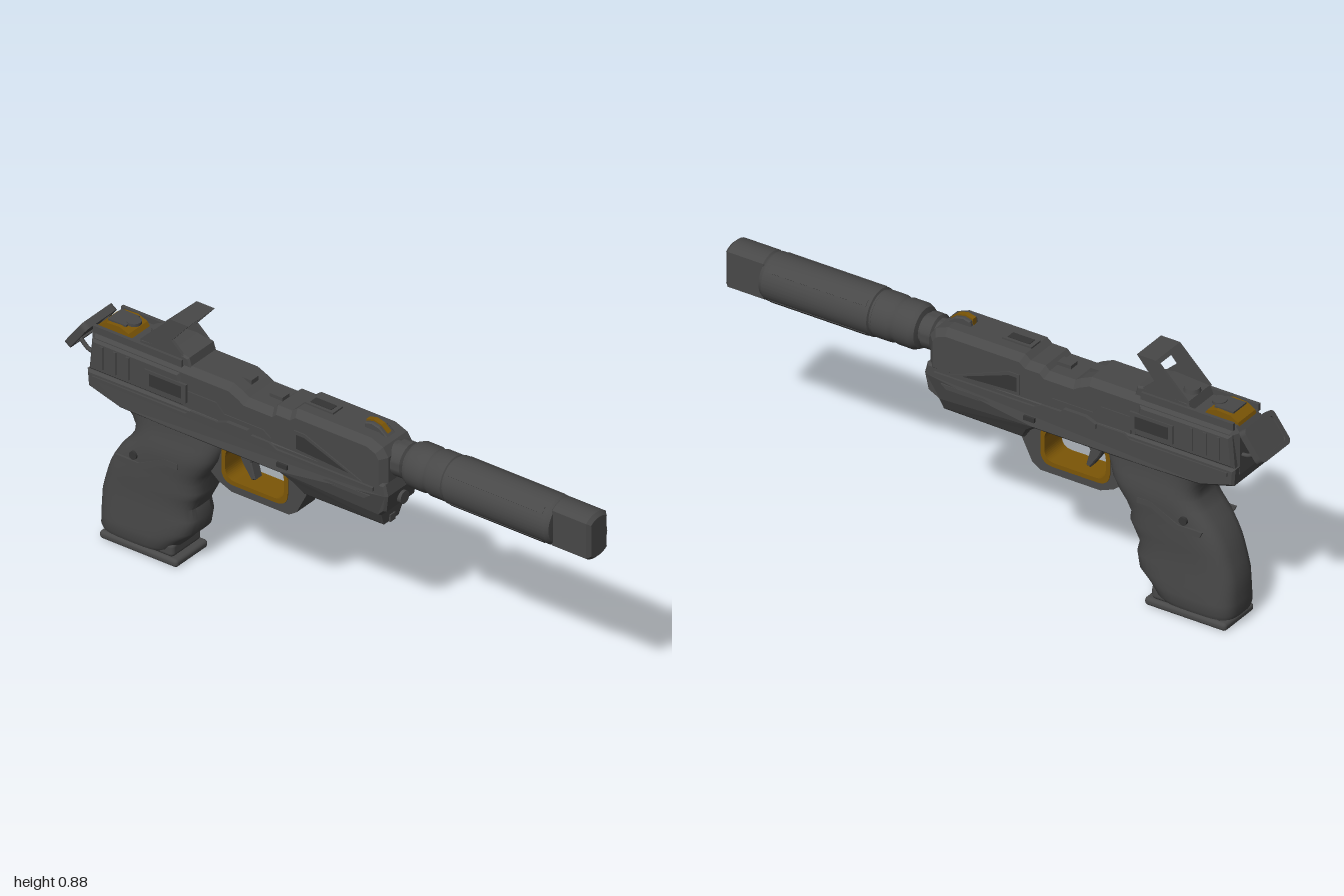
import * as THREE from 'three';
import { toCreasedNormals } from 'three/addons/utils/BufferGeometryUtils.js';
import { RoundedBoxGeometry } from 'three/addons/geometries/RoundedBoxGeometry.js';

const mat = (name, color) => Object.assign(new THREE.MeshStandardMaterial({ color }), { name });

export function createModel() {
  const root = new THREE.Group();
  const grey = mat('gunmetal', 0x484848);
  const dark = mat('dark recess', 0x343434);
  const amber = mat('amber', 0x7c5606);

  const add = (name, geo, m = grey, x = 0, y = 0, z = 0) => {
    const mesh = new THREE.Mesh(geo, m);
    mesh.name = name;
    mesh.position.set(x, y, z);
    root.add(mesh);
    return mesh;
  };
  const outline = (pts) => new THREE.Shape(pts.map(([z, y]) => new THREE.Vector2(z, y)));
  // Side profile in (z, y), extruded evenly to +-half along x
  const side = (shape, half, bevel = 0) => {
    const s = Array.isArray(shape) ? outline(shape) : shape;
    const g = new THREE.ExtrudeGeometry(s, {
      depth: 2 * (half - bevel), bevelEnabled: bevel > 0, bevelSize: bevel, bevelThickness: bevel,
      bevelOffset: -bevel, bevelSegments: 1, curveSegments: 10,
    });
    return g.translate(0, 0, -(half - bevel)).rotateY(-Math.PI / 2);
  };
  const box = (name, w, h, d, x, y, z, m = grey) => add(name, new THREE.BoxGeometry(w, h, d), m, x, y, z);
  // Thin plate on both flanks at distance x
  const flank = (name, pts, x, m = grey, t = 0.004) => {
    for (const s of [-1, 1]) add(name, side(pts, t), m, s * x);
  };
  const lathe = (name, pts, m = grey) => add(name, toCreasedNormals(
    new THREE.LatheGeometry(pts.map(([z, r]) => new THREE.Vector2(r, z)), 40).rotateX(Math.PI / 2), 0.5), m, 0, 0.665, 0);
  const roundRect = (target, a, b, c, d, r) => {
    target.moveTo(a + r, c); target.lineTo(b - r, c); target.quadraticCurveTo(b, c, b, c + r);
    target.lineTo(b, d - r); target.quadraticCurveTo(b, d, b - r, d);
    target.lineTo(a + r, d); target.quadraticCurveTo(a, d, a, d - r);
    target.lineTo(a, c + r); target.quadraticCurveTo(a, c, a + r, c);
    return target;
  };

  // Muzzle tube with stepped collars
  lathe('muzzleTube', [[0.2, 0.05], [0.235, 0.05], [0.24, 0.06], [0.275, 0.06], [0.28, 0.05], [0.288, 0.05],
    [0.292, 0.068], [0.31, 0.076], [0.36, 0.076], [0.375, 0.072], [0.39, 0.077], [0.445, 0.077], [0.448, 0.073],
    [0.455, 0.073], [0.458, 0.08], [0.845, 0.08], [0.86, 0.072], [0.865, 0]]);
  // Flat-sided tip, hollow at the end
  const tip = new THREE.Shape();
  const a = Math.acos(0.05 / 0.08);
  tip.absarc(0, 0, 0.08, a, Math.PI - a, false);
  tip.absarc(0, 0, 0.08, Math.PI + a, 2 * Math.PI - a, false);
  tip.closePath();
  tip.holes.push(new THREE.Path().absarc(0, 0, 0.03, 0, Math.PI * 2, true));
  add('muzzleTip', new THREE.ExtrudeGeometry(tip, {
    depth: 0.13, bevelSize: 0.012, bevelThickness: 0.012, bevelOffset: -0.012, bevelSegments: 1, curveSegments: 14,
  }), grey, 0, 0.665, 0.858);
  add('bore', new THREE.CircleGeometry(0.042, 28), dark, 0, 0.665, 0.95);
  // Long ribs along the tube
  for (let i = 0; i < 4; i++) {
    const t = Math.PI / 4 + (i * Math.PI) / 2;
    box('tubeRib', 0.006, 0.022, 0.36, Math.cos(t) * 0.078, 0.665 + Math.sin(t) * 0.078, 0.65).rotation.z = t;
  }

  // Slide
  add('slide', side([[0.235, 0.57], [0.235, 0.69], [0.215, 0.72], [0.17, 0.738], [-0.115, 0.738], [-0.135, 0.722],
    [-0.19, 0.722], [-0.205, 0.708], [-0.3, 0.708], [-0.32, 0.72], [-0.36, 0.738], [-0.89, 0.738], [-0.905, 0.72],
    [-0.905, 0.57]], 0.082, 0.022));
  add('slideRear', side([[-0.53, 0.6], [-0.55, 0.715], [-0.89, 0.715], [-0.9, 0.6]], 0.09, 0.01));
  flank('slideWedge', [[0.15, 0.585], [-0.11, 0.60], [-0.11, 0.672], [-0.07, 0.672]], 0.082);
  flank('slideWedgeInset', [[0.1, 0.598], [-0.1, 0.61], [-0.1, 0.66], [-0.07, 0.66]], 0.083, dark);
  flank('slideMidPanel', [[-0.2, 0.61], [-0.23, 0.63], [-0.38, 0.63], [-0.41, 0.66], [-0.52, 0.66], [-0.52, 0.6]], 0.082);
  flank('windowFrame', [[-0.52, 0.62], [-0.52, 0.685], [-0.68, 0.685], [-0.68, 0.62]], 0.09);
  flank('sideWindow', [[-0.54, 0.632], [-0.54, 0.674], [-0.66, 0.674], [-0.66, 0.632]], 0.092, dark);
  for (let i = 0; i < 3; i++) flank('rearSerration', [[-0.74 - i * 0.05, 0.62], [-0.74 - i * 0.05, 0.7],
    [-0.752 - i * 0.05, 0.7], [-0.752 - i * 0.05, 0.62]], 0.09);
  box('topPanel', 0.05, 0.008, 0.11, 0, 0.74, -0.06);
  box('topSlot', 0.03, 0.008, 0.08, 0, 0.742, -0.06, dark);
  for (const z of [-0.23, -0.35]) box('topNotch', 0.035, 0.02, 0.05, 0, 0.71 + (z < -0.3 ? 0.018 : 0), z);

  // Frame, narrowing toward its lower edge
  const frame = side([[0.235, 0.6], [0.245, 0.56], [0.235, 0.5], [0.205, 0.47], [0.2, 0.425], [-0.1, 0.425],
    [-0.13, 0.47], [-0.165, 0.5], [-0.42, 0.5], [-0.6, 0.5], [-0.78, 0.505], [-0.9, 0.54], [-0.905, 0.6]], 0.092, 0.008);
  const p = frame.attributes.position;
  for (let i = 0; i < p.count; i++) {
    const y = p.getY(i), z = p.getZ(i);
    let k = z > -0.15 ? THREE.MathUtils.lerp(0.5, 1, THREE.MathUtils.clamp((y - 0.425) / 0.085, 0, 1)) : 1;
    if (z > 0.18) k *= 0.88;
    p.setX(i, p.getX(i) * k);
  }
  frame.computeVertexNormals();
  add('frame', frame);
  const knob = add('noseKnob', new THREE.CylinderGeometry(0.022, 0.022, 0.02, 20), grey, 0, 0.525, 0.243);
  knob.rotation.x = Math.PI / 2;
  box('noseTab', 0.025, 0.025, 0.02, 0, 0.437, 0.197);
  flank('frameRail', [[0.2, 0.572], [0.2, 0.585], [-0.17, 0.585], [-0.2, 0.6], [-0.5, 0.6], [-0.52, 0.585],
    [-0.88, 0.585], [-0.88, 0.572]], 0.092);
  flank('slideStop', [[-0.26, 0.59], [-0.28, 0.615], [-0.36, 0.615], [-0.4, 0.6], [-0.4, 0.585]], 0.093, grey, 0.007);
  flank('frameButton', [[-0.13, 0.525], [-0.13, 0.54], [-0.17, 0.54], [-0.17, 0.525]], 0.092, dark);
  flank('frameLever', [[-0.02, 0.53], [0.02, 0.545], [0.18, 0.545], [0.16, 0.53]], 0.082);

  // Trigger guard with amber lining
  const guard = outline([[-0.09, 0.43], [-0.13, 0.35], [-0.16, 0.33], [-0.38, 0.33], [-0.43, 0.35], [-0.48, 0.39],
    [-0.48, 0.51], [-0.14, 0.51]]);
  guard.holes.push(roundRect(new THREE.Path(), -0.415, -0.165, 0.36, 0.5, 0.045));
  const guardGeo = side(guard, 0.045);
  add('triggerGuard', guardGeo);
  const lining = roundRect(new THREE.Shape(), -0.418, -0.162, 0.357, 0.503, 0.048);
  lining.holes.push(roundRect(new THREE.Path(), -0.403, -0.177, 0.372, 0.488, 0.04));
  add('guardLining', side(lining, 0.048), amber);
  add('trigger', side([[-0.3, 0.5], [-0.325, 0.44], [-0.31, 0.385], [-0.325, 0.38], [-0.36, 0.43], [-0.39, 0.5]], 0.02, 0.004));

  // Grip lofted from rounded sections: y, front z, back z, half width
  const sections = [[0.035, -0.61, -0.875, 0.085], [0.05, -0.59, -0.88, 0.092], [0.085, -0.565, -0.88, 0.093],
    [0.12, -0.525, -0.88, 0.092], [0.17, -0.515, -0.878, 0.09], [0.21, -0.525, -0.868, 0.089], [0.25, -0.505, -0.856, 0.091],
    [0.28, -0.49, -0.845, 0.093], [0.31, -0.495, -0.83, 0.093], [0.35, -0.475, -0.805, 0.095], [0.385, -0.45, -0.775, 0.097],
    [0.42, -0.43, -0.75, 0.097], [0.45, -0.42, -0.748, 0.092], [0.48, -0.41, -0.765, 0.088], [0.505, -0.41, -0.79, 0.087],
    [0.53, -0.41, -0.84, 0.086], [0.545, -0.41, -0.9, 0.086], [0.59, -0.41, -0.905, 0.086]];
  const N = 36, pos = [], idx = [];
  const pw = (v) => Math.sign(v) * Math.abs(v) ** 0.55;
  sections.forEach(([y, f, b, w], j) => {
    for (let i = 0; i < N; i++) {
      const t = (i / N) * Math.PI * 2;
      pos.push(w * pw(Math.cos(t)), y, (f + b) / 2 + ((f - b) / 2) * pw(Math.sin(t)));
      if (j === sections.length - 1) continue;
      const c = j * N + i, n = j * N + ((i + 1) % N);
      idx.push(c, c + N, n, n, c + N, n + N);
    }
  });
  pos.push(0, 0.035, -0.74);
  for (let i = 0; i < N; i++) idx.push(pos.length / 3 - 1, i, (i + 1) % N);
  const grip = new THREE.BufferGeometry();
  grip.setAttribute('position', new THREE.Float32BufferAttribute(pos, 3));
  grip.setIndex(idx);
  add('grip', toCreasedNormals(grip, 0.7));
  flank('gripBand', [[-0.55, 0.39], [-0.6, 0.39], [-0.7, 0.34], [-0.79, 0.34], [-0.78, 0.32], [-0.69, 0.32], [-0.6, 0.37], [-0.55, 0.37]], 0.094);
  for (const s of [-1, 1]) {
    add('gripPin', new THREE.CylinderGeometry(0.014, 0.014, 0.012, 18).rotateZ(Math.PI / 2), dark, s * 0.095, 0.36, -0.72);
  }

  // Magazine base
  add('magazineBase', new RoundedBoxGeometry(0.164, 0.028, 0.3, 3, 0.012), grey, 0, 0.014, -0.715);
  add('magazineLip', new RoundedBoxGeometry(0.15, 0.05, 0.26, 3, 0.015), grey, 0, 0.05, -0.715);

  // Front sight
  add('frontSight', side([[0.2, 0.73], [0.17, 0.755], [0.14, 0.762], [0.115, 0.755], [0.11, 0.73]], 0.022, 0.004));
  add('frontSightStrip', side([[0.195, 0.738], [0.17, 0.76], [0.14, 0.767], [0.112, 0.76], [0.11, 0.73]], 0.009), amber);

  // Reflex sight: base, raked walls and hood
  add('sightBase', side([[-0.52, 0.73], [-0.53, 0.765], [-0.59, 0.776], [-0.715, 0.768], [-0.73, 0.73]], 0.067, 0.006));
  for (const s of [-1, 1]) add('sightWall', side([[-0.53, 0.88], [-0.6, 0.88], [-0.718, 0.765], [-0.55, 0.765],
    [-0.595, 0.805]], 0.005), grey, s * 0.062);
  add('sightHood', side([[-0.53, 0.88], [-0.6, 0.88], [-0.61, 0.869], [-0.54, 0.869]], 0.065));
  add('sightDial', new THREE.CylinderGeometry(0.025, 0.028, 0.014, 24), grey, 0, 0.778, -0.69);

  // Rear cover with amber sides, and its cap
  add('rearCover', side([[-0.76, 0.73], [-0.775, 0.752], [-0.81, 0.765], [-0.86, 0.762], [-0.89, 0.745], [-0.895, 0.73]], 0.048), amber);
  box('coverCap', 0.07, 0.006, 0.07, 0, 0.766, -0.83);
  add('coverDial', new THREE.CylinderGeometry(0.024, 0.024, 0.01, 24), grey, 0, 0.768, -0.79);
  for (const s of [-1, 1]) box('coverRail', 0.012, 0.025, 0.34, s * 0.07, 0.742, -0.72);

  // Tilted rear plate on two arms
  const plate = new THREE.Group();
  plate.name = 'rearPlate';
  plate.position.set(0, 0.692, -0.957);
  plate.rotation.x = 0.64;
  const panel = (w, h, r) => roundRect(new THREE.Shape(), -w, w, -h, h, r);
  const rim = panel(0.08, 0.06, 0.02);
  rim.holes.push(panel(0.064, 0.044, 0.014));
  for (const [name, shape, depth, m] of [['rim', rim, 0.026, grey], ['panel', panel(0.07, 0.05, 0.016), 0.014, grey]]) {
    const mesh = new THREE.Mesh(new THREE.ExtrudeGeometry(shape, { depth, bevelEnabled: false }).translate(0, 0, -0.013), m);
    mesh.name = name;
    if (name === 'panel') mesh.position.z = 0.006;
    plate.add(mesh);
  }
  root.add(plate);
  for (const s of [-1, 1]) {
    const curve = new THREE.CatmullRomCurve3([[-0.89, 0.635], [-0.93, 0.64], [-0.965, 0.67]].map(([z, y]) => new THREE.Vector3(s * 0.045, y, z)));
    add('plateArm', new THREE.TubeGeometry(curve, 10, 0.007, 8));
  }
  return root;
}
